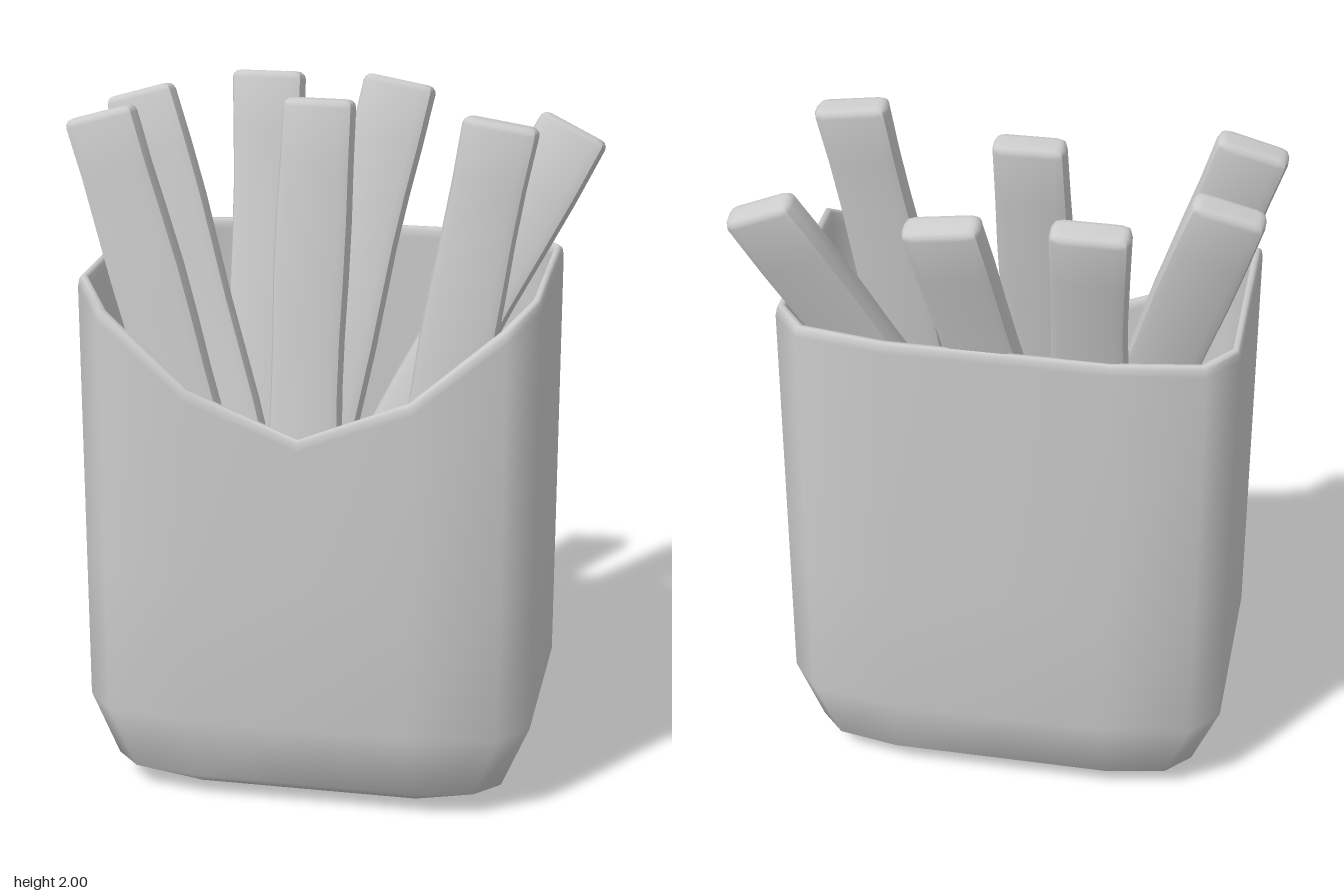
import * as THREE from 'three';
import { toCreasedNormals } from 'three/addons/utils/BufferGeometryUtils.js';

const material = new THREE.MeshStandardMaterial({ color: 0xcccccc });
const CENTRE_Z = 0.05;

// Rounded-rectangle loop of 16 points: half sizes hx, hz; flat parts fx, fz; corner point cx, cz
function ring(hx, hz, fx, fz, cx, cz) {
  const q = [[hx, fz], [cx, cz], [fx, hz]];
  const flip = (list, sx, sz) => list.map(([x, z]) => [x * sx, z * sz]);
  const rev = [...q].reverse();
  return [
    [hx, 0], ...q, [0, hz], ...flip(rev, -1, 1),
    [-hx, 0], ...flip(q, -1, -1), [0, -hz], ...flip(rev, 1, -1),
  ];
}

// Height of the rim: level at the back and sides, dipping in a V at the front
function rimHeight(x, z) {
  if (z < 0.3) return 1.54;
  const a = Math.abs(x);
  return a < 0.33 ? 1.14 + 0.13 * a / 0.33 : Math.min(1.54, 1.27 + (a - 0.33) * 0.84);
}

function cartonGeometry() {
  const full = ring(0.65, 0.425, 0.32, 0.285, 0.57, 0.385);
  const mid = ring(0.57, 0.388, 0.32, 0.28, 0.5, 0.355);
  const low = ring(0.34, 0.285, 0.32, 0.27, 0.335, 0.28);
  const inset = (loop, d) => loop.map(([x, z]) => [x * (1 - d / 0.65), z * (1 - d / 0.425)]);
  // [loop, height, or drop below the rim when negative]
  const levels = [
    [inset(low, 0.2), 0], [low, 0.003], [mid, 0.07], [full, 0.26], [full, 0.7], [full, -0.03],
    [inset(full, 0.004), -0.008], [inset(full, 0.01), 0], [inset(full, 0.02), 0],
    [inset(full, 0.026), -0.008], [inset(full, 0.03), -0.03],
    [inset(full, 0.03), 0.7], [inset(full, 0.03), 0.27], [inset(mid, 0.03), 0.1],
    [inset(low, 0.02), 0.035], [inset(low, 0.2), 0.03],
  ];
  const pos = [], index = [], n = 16;
  levels.forEach(([loop, h], li) => loop.forEach(([x, z], i) => {
    const onRim = li >= 5 && li <= 10;
    const [ox, oz] = full[i];
    pos.push(x, onRim ? rimHeight(ox, oz) + h : h, z + CENTRE_Z);
  }));
  for (let l = 0; l < levels.length - 1; l++) {
    for (let i = 0; i < n; i++) {
      const a = l * n + i, b = l * n + (i + 1) % n;
      index.push(a, a + n, b, b, a + n, b + n);
    }
  }
  // Underside and inner floor
  const last = (levels.length - 1) * n;
  const under = pos.length / 3;
  pos.push(0, 0, CENTRE_Z, 0, 0.03, CENTRE_Z);
  for (let i = 0; i < n; i++) {
    const j = (i + 1) % n;
    index.push(under, i, j, under + 1, last + j, last + i);
  }
  const g = new THREE.BufferGeometry();
  g.setAttribute('position', new THREE.Float32BufferAttribute(pos, 3));
  g.setIndex(index);
  g.computeVertexNormals();
  return g;
}

// One chip: rounded bar, slightly bowed, running from its foot to its top
function fry(foot, top, phase) {
  const a = new THREE.Vector3(...foot), b = new THREE.Vector3(...top);
  const length = a.distanceTo(b), bevel = 0.022;
  const w = 0.105 - bevel, d = 0.044 - bevel, r = 0.012;
  const s = new THREE.Shape();
  s.moveTo(-w + r, -d);
  s.lineTo(w - r, -d); s.quadraticCurveTo(w, -d, w, -d + r);
  s.lineTo(w, d - r); s.quadraticCurveTo(w, d, w - r, d);
  s.lineTo(-w + r, d); s.quadraticCurveTo(-w, d, -w, d - r);
  s.lineTo(-w, -d + r); s.quadraticCurveTo(-w, -d, -w + r, -d);
  const g = new THREE.ExtrudeGeometry(s, {
    depth: length - 2 * bevel, steps: 10, curveSegments: 2,
    bevelThickness: bevel, bevelSize: bevel, bevelSegments: 3,
  });
  g.translate(0, 0, bevel);
  g.rotateX(-Math.PI / 2);
  const p = g.attributes.position;
  for (let i = 0; i < p.count; i++) {
    const t = p.getY(i) / length;
    const swell = 1 + 0.03 * Math.sin(t * 14 + phase);
    p.setX(i, p.getX(i) * swell - Math.sign(top[0] - foot[0]) * 0.012 * Math.sin(t * Math.PI));
    p.setZ(i, p.getZ(i) * swell);
  }
  const y = b.clone().sub(a).normalize();
  const z = new THREE.Vector3(1, 0, 0).cross(y).normalize();
  const x = y.clone().cross(z);
  g.applyMatrix4(new THREE.Matrix4().makeBasis(x, y, z).setPosition(a));
  return new THREE.Mesh(toCreasedNormals(g, 0.7), material);
}

export function createModel() {
  const model = new THREE.Group();
  const carton = new THREE.Mesh(cartonGeometry(), material);
  carton.name = 'carton';
  model.add(carton);

  const fries = new THREE.Group();
  fries.name = 'fries';
  const layout = [
    ['fryBackRight', [-0.25, 0.45, -0.06], [-0.26, 1.98, -0.415]],
    ['fryBackMiddle', [-0.13, 0.45, -0.03], [0.135, 1.965, -0.43]],
    ['fryBackLeft', [-0.1, 0.33, 0.12], [0.67, 1.88, -0.285]],
    ['frySideRight', [-0.15, 0.45, 0.11], [-0.6, 1.955, -0.195]],
    ['fryCentre', [-0.035, 0.35, 0.245], [-0.025, 1.995, 0]],
    ['fryFrontRight', [-0.2, 0.5, 0.31], [-0.625, 1.965, 0.15]],
    ['fryFrontLeft', [0.28, 0.45, 0.31], [0.51, 1.985, 0.15]],
  ];
  layout.forEach(([name, foot, top], i) => {
    const mesh = fry(foot, top, i * 0.9);
    mesh.name = name;
    fries.add(mesh);
  });
  model.add(fries);
  return model;
}
